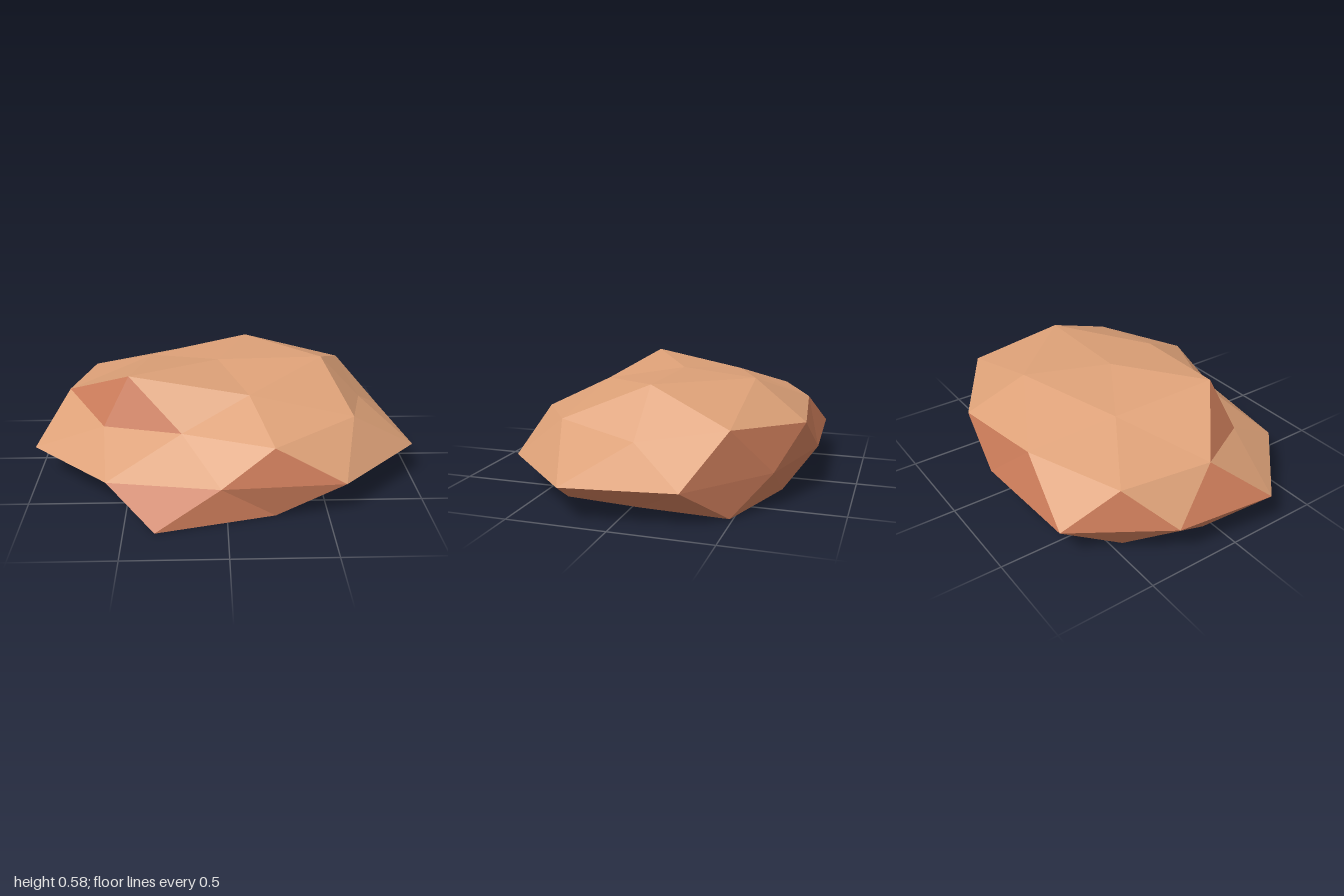
import * as THREE from 'three';

export function createModel() {
  const group = new THREE.Group();
  group.name = 'rock';
  const sand = new THREE.MeshStandardMaterial({ name: 'sandstone tan', color: 0xdca077 });
  const clay = new THREE.MeshStandardMaterial({ name: 'clay red', color: 0xcc7c5a });

  // Cross-section rings, listed counter-clockwise seen from above: [x, y, z]
  const peak = [-0.03, 0.565, -0.05];
  const crown = [
    [-0.49, 0.585, 0.24], [0.12, 0.513, 0.33], [0.53, 0.575, -0.05],
    [0.14, 0.56, -0.48], [-0.4, 0.51, -0.28],
  ];
  const shoulder = [
    [-0.62, 0.34, 0.31], [-0.22, 0.36, 0.45], [0.23, 0.365, 0.63], [0.65, 0.405, 0.365], [0.75, 0.345, -0.04],
    [0.69, 0.42, -0.48], [0.25, 0.375, -0.76], [-0.27, 0.395, -0.7], [-0.75, 0.375, -0.5], [-0.84, 0.4, -0.05],
  ];
  const waist = [
    [-1, 0.22], [-0.59, 0.61], [-0.03, 0.695], [0.58, 0.655], [1, 0.235],
    [0.92, -0.31], [0.5, -0.65], [-0.03, -0.79], [-0.64, -0.76], [-0.94, -0.3],
  ].map(([x, z]) => [x, 0.18, z]);
  const base = [
    [-0.6, 0.3], [-0.35, 0.785], [0.24, 0.64], [0.63, 0.355], [0.67, -0.04],
    [0.69, -0.485], [0.2, -0.645], [-0.25, -0.665], [-0.69, -0.445], [-0.82, -0.05],
  ].map(([x, z]) => [x, 0, z]);

  const top = [], cliffs = [], underside = [];
  const at = (ring, i) => ring[i % ring.length];
  const face = (list, a, b, c) => list.push(...a, ...b, ...c);

  // Cap from the peak down to the shoulder
  for (let j = 0; j < 5; j++) {
    const c0 = crown[j], c1 = at(crown, j + 1);
    const s0 = shoulder[2 * j], s1 = shoulder[2 * j + 1], s2 = at(shoulder, 2 * j + 2);
    face(top, peak, c0, c1);
    face(j === 0 ? cliffs : top, c0, s0, s1);
    face(top, c0, s1, c1);
    face(j === 4 ? cliffs : top, c1, s1, s2);
  }

  // Sloping band to the waist, undercut band to the base, and flat bottom
  const steepDown = [2, 5, 6, 7, 8, 9], steepUp = [5, 6];
  for (let k = 0; k < 10; k++) {
    const s0 = shoulder[k], s1 = at(shoulder, k + 1);
    const w0 = waist[k], w1 = at(waist, k + 1);
    const b0 = base[k], b1 = at(base, k + 1);
    face(steepDown.includes(k) ? cliffs : top, s0, w0, w1);
    face(steepUp.includes(k) ? cliffs : top, s0, w1, s1);
    face(underside, w0, b0, w1);
    face(underside, b0, b1, w1);
    face(underside, [0, 0, 0], b1, b0);
  }

  // Unshared corners give each facet its own flat normal
  const addPart = (name, positions, material) => {
    const geometry = new THREE.BufferGeometry();
    geometry.setAttribute('position', new THREE.Float32BufferAttribute(positions, 3));
    geometry.computeVertexNormals();
    const mesh = new THREE.Mesh(geometry, material);
    mesh.name = name;
    group.add(mesh);
  };
  addPart('rockTop', top, sand);
  addPart('rockCliffs', cliffs, clay);
  addPart('rockUnderside', underside, clay);
  return group;
}
